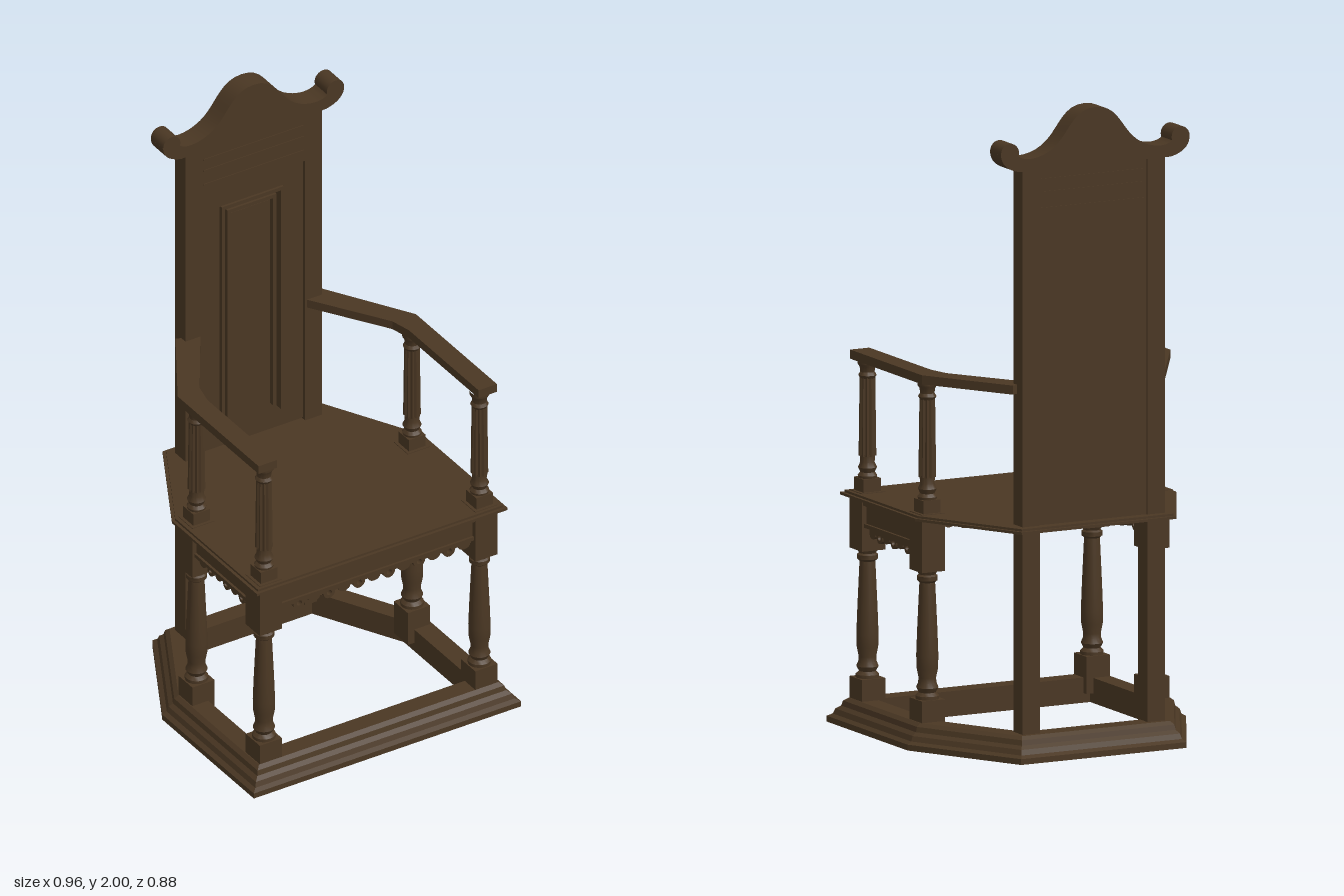
import * as THREE from 'three';
import { toCreasedNormals } from 'three/addons/utils/BufferGeometryUtils.js';

const oak = new THREE.MeshStandardMaterial({ color: 0x4a3723 });
oak.name = 'dark oak';

// six-cornered plan, inset by d on every side, as [x, z] from front left round the back
function plan(d) {
  const half = [[0.48 - d, 0.44 - d], [0.48 - d, -0.08 + 0.25 * d], [0.285 - 0.6 * d, -0.445 + d]];
  return [...half, ...half.map(([x, z]) => [-x, z]).reverse()];
}

function add(parent, name, geometry, x = 0, y = 0, z = 0) {
  const mesh = new THREE.Mesh(geometry, oak);
  mesh.name = name;
  mesh.position.set(x, y, z);
  parent.add(mesh);
  return mesh;
}

const box = (w, h, d) => new THREE.BoxGeometry(w, h, d);
const polygon = (pts) => new THREE.Shape(pts.map(([x, y]) => new THREE.Vector2(x, y)));
const extrude = (shape, depth) =>
  new THREE.ExtrudeGeometry(shape, { depth, bevelEnabled: false, curveSegments: 10 });
// horizontal slab from [x, z] points
const slab = (pts, h) => extrude(polygon(pts.map(([x, z]) => [x, -z])), h).rotateX(-Math.PI / 2);

// closed moulding swept round the plan; profile is [inset, y]
function planMoulding(profile) {
  const loops = profile.map(([d, y]) => plan(d).map(([x, z]) => [x, y, z]));
  const pos = [];
  loops.forEach((low, i) => {
    const high = loops[(i + 1) % loops.length];
    for (let j = 0; j < 6; j++) {
      const k = (j + 1) % 6;
      pos.push(...low[j], ...low[k], ...high[k], ...low[j], ...high[k], ...high[j]);
    }
  });
  const g = new THREE.BufferGeometry();
  g.setAttribute('position', new THREE.Float32BufferAttribute(pos, 3));
  g.computeVertexNormals();
  return g;
}

const lathe = (pts) => toCreasedNormals(
  new THREE.LatheGeometry(pts.map(([r, y]) => new THREE.Vector2(r, y)), 20), 0.6);

// fluted shaft: every second edge is pulled in
function flutedShaft(r, h) {
  const g = new THREE.CylinderGeometry(r * 0.88, r, h, 24, 1);
  const p = g.attributes.position;
  for (let i = 0; i < p.count; i++) {
    const step = Math.round(Math.atan2(p.getX(i), p.getZ(i)) / (Math.PI / 12));
    const s = step % 2 ? 0.84 : 1;
    p.setXYZ(i, p.getX(i) * s, p.getY(i), p.getZ(i) * s);
  }
  const flat = g.toNonIndexed();
  flat.computeVertexNormals();
  return flat;
}

// one leg with the arm post above it
function makePost() {
  const post = new THREE.Group();
  add(post, 'footBlock', box(0.08, 0.115, 0.08), 0, 0.0875, 0);
  add(post, 'turnedLeg', lathe([
    [0.036, 0.145], [0.036, 0.155], [0.026, 0.165], [0.034, 0.18], [0.028, 0.195], [0.027, 0.21],
    [0.033, 0.24], [0.034, 0.28], [0.031, 0.36], [0.025, 0.49], [0.024, 0.505], [0.032, 0.512],
    [0.032, 0.525], [0.026, 0.53], [0.034, 0.545]]));
  add(post, 'seatBlock', box(0.08, 0.18, 0.08), 0, 0.632, 0);
  add(post, 'armPostBlock', box(0.06, 0.045, 0.06), 0, 0.74, 0);
  add(post, 'armPostBase', lathe([
    [0.028, 0.76], [0.03, 0.77], [0.022, 0.78], [0.029, 0.795], [0.022, 0.81], [0.024, 0.835]]));
  add(post, 'armPostShaft', flutedShaft(0.027, 0.25), 0, 0.955, 0);
  add(post, 'armPostCapital', lathe([
    [0.022, 1.07], [0.028, 1.08], [0.022, 1.09], [0.024, 1.105], [0.03, 1.115], [0.03, 1.128]]));
  return post;
}

// rail with mouldings and a pierced, scalloped lower edge, facing +z
function makeRail(length, lobes) {
  const rail = new THREE.Group();
  add(rail, 'railBoard', box(length, 0.09, 0.04), 0, 0.66, -0.02);
  add(rail, 'upperMoulding', box(length, 0.02, 0.054), 0, 0.695, -0.015);
  add(rail, 'lowerMoulding', box(length, 0.012, 0.05), 0, 0.622, -0.017);
  const shape = new THREE.Shape();
  const w = length / lobes;
  shape.moveTo(-length / 2, 0.625);
  shape.lineTo(-length / 2, 0.595);
  for (let i = 0; i < lobes; i++) {
    const x = -length / 2 + i * w;
    const drop = i % 2 ? 0.574 : 0.584;
    shape.lineTo(x + 0.1 * w, 0.597);
    shape.bezierCurveTo(x + 0.15 * w, drop - 0.007, x + 0.85 * w, drop - 0.007, x + 0.9 * w, 0.597);
    shape.lineTo(x + w, 0.597);
    if (i % 2) {
      const hole = new THREE.Path();
      hole.absarc(x + w / 2, 0.594, 0.009, 0, Math.PI * 2, true);
      shape.holes.push(hole);
    }
  }
  shape.lineTo(length / 2, 0.625);
  shape.closePath();
  add(rail, 'scallopedApron', extrude(shape, 0.02), 0, 0, -0.03);
  return rail;
}

// inverted U with its feet cut along the sloping foot of the panel
function panelFrame(xo, xi, yo, yi, depth) {
  const foot = (x) => 0.725 + (0.185 - x) * 0.75;
  return extrude(polygon([[-xo, foot(xo)], [-xi, foot(xi)], [-xi, yi], [xi, yi],
    [xi, foot(xi)], [xo, foot(xo)], [xo, yo], [-xo, yo]].reverse()), depth);
}

function makeBack() {
  const back = new THREE.Group();
  for (const s of [-1, 1]) add(back, 'backStile', box(0.06, 1.78, 0.06), s * 0.215, 0.94, -0.35);
  add(back, 'backBoard', box(0.37, 1.11, 0.02), 0, 1.275, -0.364);
  add(back, 'topRail', box(0.37, 0.17, 0.054), 0, 1.745, -0.348);
  for (const y of [1.7, 1.75, 1.79])
    for (const z of [-0.321, -0.375]) add(back, 'railBead', box(0.36, 0.004, 0.005), 0, y, z);
  // stepped mouldings round the tall middle panel
  add(back, 'outerFrame', panelFrame(0.185, 0.115, 1.66, 1.59, 0.022), 0, 0, -0.354);
  add(back, 'middleMoulding', panelFrame(0.112, 0.1, 1.592, 1.58, 0.03), 0, 0, -0.354);
  add(back, 'innerMoulding', panelFrame(0.088, 0.076, 1.57, 1.558, 0.025), 0, 0, -0.354);
  add(back, 'middlePanel', extrude(polygon([[-0.185, 0.715], [0.185, 0.715], [0.185, 0.725],
    [0.07, 0.811], [0.07, 1.55], [-0.07, 1.55], [-0.07, 0.811], [-0.185, 0.725]]), 0.016), 0, 0, -0.354);

  // crest with a bell-shaped middle and scrolled ends
  const crest = new THREE.Shape();
  crest.moveTo(-0.26, 1.822);
  crest.lineTo(0.26, 1.822);
  crest.bezierCurveTo(0.3, 1.83, 0.325, 1.85, 0.325, 1.88);
  crest.lineTo(0.268, 1.875);
  crest.bezierCurveTo(0.255, 1.858, 0.215, 1.853, 0.17, 1.872);
  crest.bezierCurveTo(0.09, 1.905, 0.09, 2.0, 0, 2.0);
  crest.bezierCurveTo(-0.09, 2.0, -0.09, 1.905, -0.17, 1.872);
  crest.bezierCurveTo(-0.215, 1.853, -0.255, 1.858, -0.268, 1.875);
  crest.lineTo(-0.325, 1.88);
  crest.bezierCurveTo(-0.325, 1.85, -0.3, 1.83, -0.26, 1.822);
  add(back, 'crest', toCreasedNormals(extrude(crest, 0.07), 0.5), 0, 0, -0.39);
  for (const s of [-1, 1])
    add(back, 'crestScroll', new THREE.CylinderGeometry(0.031, 0.031, 0.07, 24).rotateX(Math.PI / 2),
      s * 0.294, 1.882, -0.355);
  return back;
}

export function createModel() {
  const chair = new THREE.Group();
  chair.name = 'armchair';

  add(chair, 'baseFrame', planMoulding([[0, 0], [0, 0.018], [0.014, 0.026], [0.02, 0.042],
    [0.033, 0.052], [0.037, 0.068], [0.05, 0.078], [0.11, 0.078], [0.11, 0]]));

  add(chair, 'seatBoard', slab(plan(0.03), 0.008), 0, 0.705, 0);
  add(chair, 'seatTop', slab(plan(0.04), 0.007), 0, 0.713, 0);

  // legs, arm posts, side rails and arms, mirrored
  for (const s of [-1, 1]) {
    for (const z of [0.35, -0.033]) {
      const post = makePost();
      post.name = z > 0 ? 'frontPost' : 'rearPost';
      post.position.set(s * 0.387, 0, z);
      chair.add(post);
    }
    const rail = makeRail(0.31, 7);
    rail.name = 'sideRail';
    rail.rotation.y = s * Math.PI / 2;
    rail.position.set(s * 0.412, 0, 0.158);
    chair.add(rail);

    const arm = [[0.428, 0.385], [0.428, -0.075], [0.262, -0.35], [0.19, -0.322], [0.346, -0.08],
      [0.362, -0.01], [0.362, 0.385]].map(([x, z]) => [s * x, z]);
    add(chair, 'arm', slab(arm, 0.028), 0, 1.127, 0);
  }

  const frontRail = makeRail(0.7, 13);
  frontRail.name = 'frontRail';
  frontRail.position.z = 0.375;
  chair.add(frontRail);

  const back = makeBack();
  back.name = 'back';
  chair.add(back);
  return chair;
}
